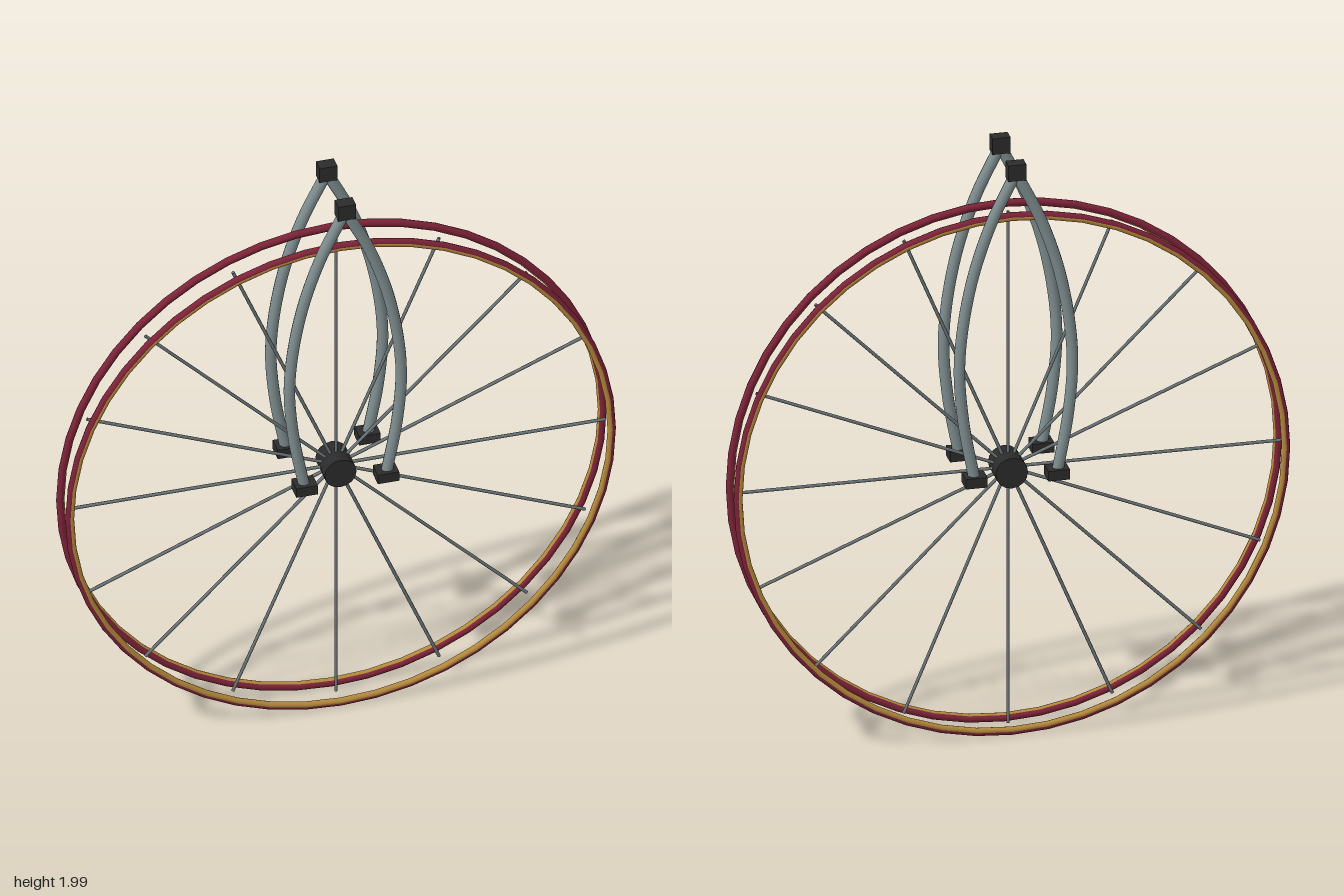
import * as THREE from 'three';

const material = (name, color) => {
  const m = new THREE.MeshStandardMaterial({ color });
  m.name = name;
  return m;
};

export function createModel() {
  const model = new THREE.Group();
  model.name = 'forkedWheel';
  const red = material('rimRed', 0x7d2338);
  const gold = material('trimGold', 0xb5893c);
  const steel = material('forkSteel', 0x7f8e90);
  const wire = material('spokeSteel', 0x6a7477);
  const black = material('fittingBlack', 0x2b2b2b);
  const AXLE = 0.907;

  const add = (parent, name, geometry, mat, x = 0, y = 0, z = 0) => {
    const mesh = new THREE.Mesh(geometry, mat);
    mesh.name = name;
    mesh.position.set(x, y, z);
    parent.add(mesh);
    return mesh;
  };

  // Wheel, centred on the axle
  const wheel = new THREE.Group();
  wheel.name = 'wheel';
  wheel.position.y = AXLE;
  model.add(wheel);

  // Twin rims, each with a gold trim on its inner outward edge
  const rim = new THREE.TorusGeometry(0.886, 0.0125, 10, 48);
  const trim = new THREE.TorusGeometry(0.881, 0.0105, 10, 48);
  for (const side of [1, -1]) {
    add(wheel, 'rim', rim, red, 0, 0, side * 0.053);
    add(wheel, 'rimTrim', trim, gold, 0, 0, side * 0.0555);
  }

  // Hub
  const hub = new THREE.CylinderGeometry(0.052, 0.052, 0.106, 16).rotateX(Math.PI / 2);
  add(wheel, 'hub', hub, black);

  // Sixteen spokes
  const spoke = new THREE.CylinderGeometry(0.0055, 0.0055, 0.88, 8).translate(0, 0.44, 0);
  for (let i = 0; i < 16; i++) {
    add(wheel, 'spoke', spoke, wire).rotation.z = (i * Math.PI) / 8;
  }

  // Bowed fork legs, one pair on either side of the wheel
  const legPoints = [[0, 1.965], [0.083, 1.79], [0.148, 1.58], [0.182, 1.33], [0.17, 1.13], [0.133, 0.92]];
  const legFor = (s) => new THREE.TubeGeometry(
    new THREE.CatmullRomCurve3(legPoints.map(([x, y]) => new THREE.Vector3(s * x, y, 0))),
    28, 0.0185, 12);
  const legs = [1, -1].map((s) => [s, legFor(s)]);
  const foot = new THREE.BoxGeometry(0.07, 0.034, 0.058);
  const cap = new THREE.BoxGeometry(0.058, 0.055, 0.042);
  for (const side of [1, -1]) {
    const fork = new THREE.Group();
    fork.name = side > 0 ? 'frontFork' : 'backFork';
    fork.position.z = side * 0.107;
    model.add(fork);
    for (const [s, leg] of legs) {
      add(fork, 'forkLeg', leg, steel);
      add(fork, 'forkFoot', foot, black, s * 0.133, 0.922, 0);
    }
    add(fork, 'forkCap', cap, black, 0, 1.9725, 0);
  }
  return model;
}
